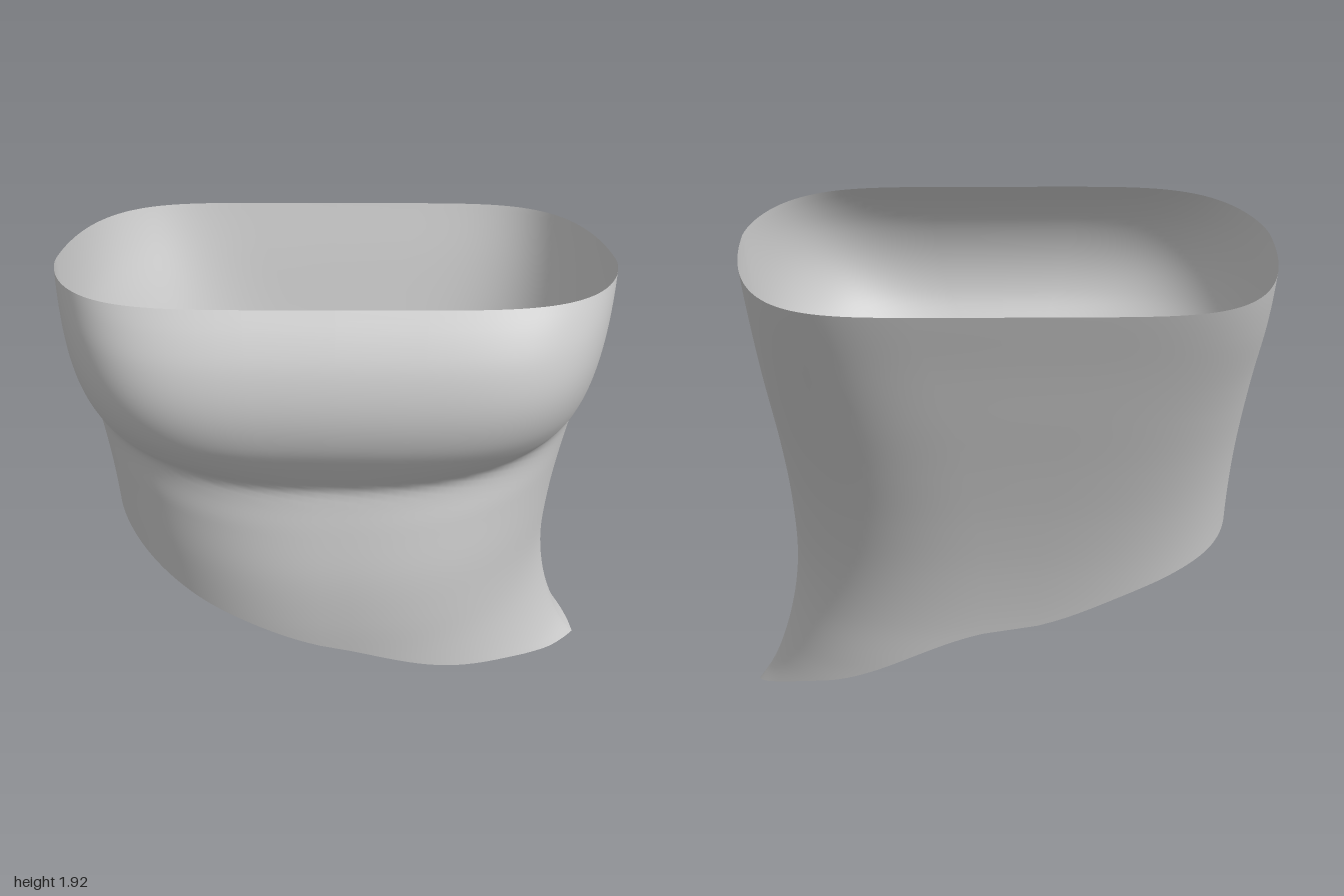
import * as THREE from 'three';

// Smooth curve through [key, value] pairs
function curve(...pairs) {
  const c = new THREE.CubicInterpolant(pairs.map(p => p[0]), pairs.map(p => p[1]), 1, new Float32Array(1));
  return t => c.evaluate(t)[0];
}

// Half-extents of the cross-section by height
const rightX = curve([0, 1], [0.07, 0.95], [0.15, 0.91], [0.35, 0.85], [0.55, 0.825], [0.8, 0.84], [1, 0.87], [1.3, 0.93], [1.55, 0.97], [1.78, 1], [1.95, 1.01]);
const leftX = curve([0.4, 0.84], [0.75, 0.855], [1, 0.88], [1.3, 0.93], [1.5, 0.97], [1.75, 1], [1.95, 1.01]);
const frontZ = curve([0, 0.62], [0.42, 0.65], [0.6, 0.66], [0.8, 0.655], [1, 0.625], [1.12, 0.602], [1.17, 0.597],
  [1.25, 0.65], [1.35, 0.715], [1.45, 0.765], [1.6, 0.785], [1.75, 0.75], [1.85, 0.69], [1.92, 0.63]);
const backZ = curve([0, 0.485], [0.24, 0.49], [0.4, 0.495], [0.6, 0.52], [0.8, 0.56], [1, 0.61], [1.2, 0.665], [1.4, 0.72], [1.6, 0.78], [1.95, 0.88]);

// Cross-section exponents by height: P flattens the front and back, Q rounds the sides
const frontP = curve([0, 2.4], [0.8, 2.4], [1, 2.4], [1.17, 2.45], [1.35, 3.8], [1.6, 5], [1.92, 5.4]);
const frontQ = curve([0, 1.5], [0.8, 1.5], [1.17, 1.55], [1.35, 1.65], [1.6, 1.7], [1.92, 1.4]);
const backP = curve([0.2, 3], [0.8, 3.3], [1.2, 4.3], [1.6, 6], [1.95, 6]);
const backQ = curve([0.2, 2.15], [0.8, 2.15], [1.6, 2.2], [1.95, 2.2]);

// Slanted hem height by angle from the left side, around the front and the back
const frontHem = curve([0, 0], [12, 0.035], [24, 0.08], [34, 0.135], [44, 0.195], [66, 0.315], [90, 0.475],
  [107, 0.565], [125, 0.625], [142, 0.672], [162, 0.715], [180, 0.74]);
const backHem = curve([0, 0], [15, 0.045], [27, 0.085], [40, 0.125], [55, 0.17], [66, 0.225], [90, 0.395],
  [107, 0.505], [124, 0.575], [157, 0.67], [180, 0.74]);

const centreZ = 0.03;

// Point on the garment at an angle and a height
function surfacePoint(angle, y) {
  const c = Math.cos(angle), s = Math.sin(angle), front = s >= 0;
  const halfX = c >= 0 ? rightX(y) : leftX(y);
  const halfZ = front ? frontZ(y) - centreZ : backZ(y) + centreZ;
  const p = front ? frontP(y) : backP(y);
  const q = front ? frontQ(y) : backQ(y);
  return [
    Math.sign(c) * halfX * Math.abs(c) ** (2 / p),
    y,
    centreZ + Math.sign(s) * halfZ * Math.abs(s) ** (2 / q),
  ];
}

// Height of the tilted top rim at an angle
function rimHeight(angle) {
  let y = 1.78;
  for (let k = 0; k < 20; k++) y += 0.5 * (1.777 + 0.227 * surfacePoint(angle, y)[2] - y);
  return y;
}

function bandGeometry(around = 160, rows = 60) {
  const positions = [], indices = [];
  for (let j = 0; j <= rows; j++) {
    for (let i = 0; i < around; i++) {
      const angle = (i / around) * Math.PI * 2;
      const degrees = (i / around) * 360;
      const hem = degrees <= 180 ? frontHem(degrees) : backHem(360 - degrees);
      positions.push(...surfacePoint(angle, THREE.MathUtils.lerp(rimHeight(angle), hem, j / rows)));
      if (j === rows) continue;
      const a = j * around + i, b = j * around + (i + 1) % around;
      indices.push(a, b, a + around, b, b + around, a + around);
    }
  }
  const geometry = new THREE.BufferGeometry();
  geometry.setAttribute('position', new THREE.Float32BufferAttribute(positions, 3));
  geometry.setIndex(indices);
  geometry.computeVertexNormals();
  return geometry;
}

export function createModel() {
  const group = new THREE.Group();
  group.name = 'strapless top';
  const material = new THREE.MeshStandardMaterial({ color: 0xcccccc, side: THREE.DoubleSide });
  const band = new THREE.Mesh(bandGeometry(), material);
  band.name = 'fabricBand';
  group.add(band);
  return group;
}
